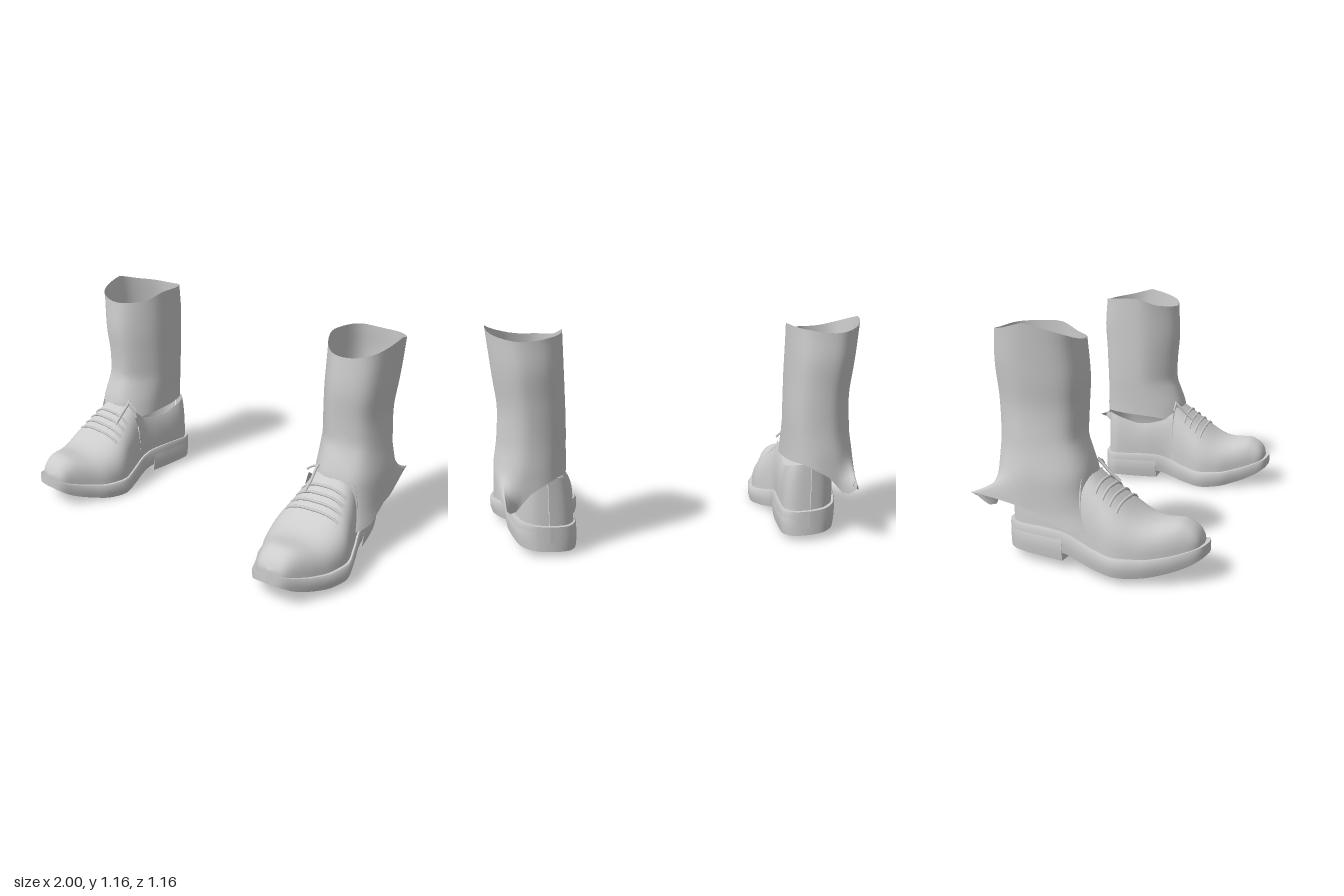
import * as THREE from 'three';
import { mergeVertices, toCreasedNormals } from 'three/addons/utils/BufferGeometryUtils.js';

// Monotone smooth interpolation through [key, value] pairs in rising key order
function at(table, k) {
  const n = table.length - 1;
  if (k <= table[0][0]) return table[0][1];
  if (k >= table[n][0]) return table[n][1];
  const slope = (i) => (table[i + 1][1] - table[i][1]) / (table[i + 1][0] - table[i][0]);
  const tangent = (i) => {
    if (i === 0) return slope(0);
    if (i === n) return slope(n - 1);
    const a = slope(i - 1), b = slope(i);
    return a * b <= 0 ? 0 : (2 * a * b) / (a + b);
  };
  let i = 0;
  while (k > table[i + 1][0]) i++;
  const d = table[i + 1][0] - table[i][0], t = (k - table[i][0]) / d;
  const t2 = t * t, t3 = t2 * t;
  return (2 * t3 - 3 * t2 + 1) * table[i][1] + (t3 - 2 * t2 + t) * d * tangent(i)
    + (3 * t2 - 2 * t3) * table[i + 1][1] + (t3 - t2) * d * tangent(i + 1);
}

// Skin a surface over rows of points; closed joins each row end to its start
function loft(rows, closed) {
  const m = rows[0].length, index = [];
  for (let r = 0; r < rows.length - 1; r++) {
    for (let c = 0; c < (closed ? m : m - 1); c++) {
      const a = r * m + c, b = r * m + ((c + 1) % m);
      index.push(a, b, a + m, b, b + m, a + m);
    }
  }
  const geo = new THREE.BufferGeometry();
  geo.setAttribute('position', new THREE.Float32BufferAttribute(rows.flat(2), 3));
  geo.setIndex(index);
  geo.computeVertexNormals();
  return geo;
}

// Outline and height curves along z for the left shoe
const INNER = [[-0.445, 0.68], [-0.437, 0.615], [-0.415, 0.57], [-0.36, 0.543], [-0.2, 0.555], [-0.04, 0.575],
  [0.08, 0.545], [0.2, 0.512], [0.3, 0.533], [0.4, 0.587], [0.5, 0.643], [0.545, 0.67], [0.567, 0.7], [0.577, 0.775]];
const OUTER = [[-0.445, 0.68], [-0.437, 0.74], [-0.415, 0.785], [-0.36, 0.835], [-0.2, 0.885], [-0.04, 0.92],
  [0.08, 0.965], [0.2, 1.0], [0.3, 0.984], [0.4, 0.946], [0.5, 0.895], [0.545, 0.866], [0.567, 0.837], [0.577, 0.775]];
const WELT = [[-0.44, 0.172], [-0.2, 0.18], [-0.1, 0.175], [0, 0.148], [0.1, 0.122], [0.2, 0.108],
  [0.3, 0.108], [0.4, 0.12], [0.5, 0.145], [0.575, 0.172]];
const TREAD = [[-0.44, 0.085], [-0.1, 0.072], [0, 0.046], [0.1, 0.026], [0.2, 0.017], [0.3, 0.023],
  [0.4, 0.042], [0.5, 0.075], [0.575, 0.12]];
const RIDGE = [[0, 0.475], [0.05, 0.435], [0.1, 0.395], [0.15, 0.355], [0.2, 0.317], [0.25, 0.285], [0.3, 0.265],
  [0.35, 0.259], [0.4, 0.264], [0.45, 0.268], [0.5, 0.25], [0.53, 0.225], [0.554, 0.18]];
const COLLAR = [[-0.43, 0.43], [-0.36, 0.41], [-0.2, 0.365], [-0.08, 0.385], [0, 0.44]];

// Slight sideways roll of the whole shoe
const roll = (x, y, z) => [x, y + 0.07 * (x - 0.755), z];
// Stations bunched towards both ends
const stations = (z0, z1, n) => Array.from({ length: n + 1 },
  (_, i) => (z0 + z1) / 2 - ((z1 - z0) / 2) * Math.cos((Math.PI * i) / n));

// Solid bar following the outline between two height functions
function slab(z0, z1, n, top, bottom) {
  const rows = stations(z0, z1, n).map((z) => {
    const c = (at(INNER, z) + at(OUTER, z)) / 2, w = (at(OUTER, z) - at(INNER, z)) / 2;
    const t = top(z), b = bottom(z), m = b + (t - b) * 0.35;
    return [[-0.96, t], [-1, t - 0.014], [-0.99, m], [-0.95, b], [0.95, b], [0.99, m], [1, t - 0.014], [0.96, t]]
      .map(([k, y]) => roll(c + k * w, y, z));
  });
  // Close both ends
  const shrink = (row) => {
    const mid = [0, 1, 2].map((j) => row.reduce((s, p) => s + p[j], 0) / row.length);
    return row.map(() => mid);
  };
  return toCreasedNormals(loft([shrink(rows[0]), ...rows, shrink(rows[n])], true), 0.85);
}

// Point on the leather upper; a runs from 0 at the welt to 1 at the ridge or collar
function upperPoint(z, side, a, lift = 0) {
  const zo = z / 0.96, open = z < 0;
  const c = (at(INNER, zo) + at(OUTER, zo)) / 2, w = ((at(OUTER, zo) - at(INNER, zo)) / 2) * 0.91;
  const angle = a * (open ? 0.72 : Math.PI / 2), y0 = at(WELT, z) - 0.005;
  const reach = open ? Math.pow(Math.sin(0.72), 0.75) : 1;
  const h = ((open ? at(COLLAR, z) : at(RIDGE, z)) - y0) / reach;
  const x = c + side * w * Math.pow(Math.max(0, Math.cos(angle)), 0.75);
  return roll(x, y0 + h * Math.pow(Math.sin(angle), 0.75) + lift, z);
}

function upperGeometry(side, z0, z1, n) {
  const rows = stations(z0, z1, n).map((z) =>
    Array.from({ length: 15 }, (_, i) => upperPoint(z, side, side > 0 ? i / 14 : 1 - i / 14)));
  return loft(rows, false);
}

// Trouser leg section curves by height, and hems by angle (0 outside, 90 front)
const LEG_OUT = [[0.2, 0.965], [0.3, 0.952], [0.42, 0.95], [0.6, 0.925], [0.75, 0.915], [0.9, 0.93], [1.16, 0.955]];
const LEG_IN = [[0.2, 0.58], [0.44, 0.58], [0.7, 0.575], [1.13, 0.578]];
const LEG_FRONT = [[0.2, 0.12], [0.3, 0.06], [0.38, 0.035], [0.46, 0.028], [0.55, 0], [0.63, -0.025], [0.75, -0.02],
  [0.9, -0.01], [1.08, -0.022]];
const LEG_BACK = [[0.2, -0.46], [0.45, -0.46], [0.6, -0.455], [0.8, -0.462], [0.97, -0.474], [1.1, -0.465]];
const HEM_LOW = [[0, 0.285], [15, 0.218], [40, 0.205], [65, 0.205], [90, 0.36], [135, 0.385], [180, 0.41],
  [225, 0.42], [265, 0.37], [288, 0.262], [315, 0.325], [335, 0.32], [360, 0.285]];
const HEM_TOP = [[0, 1.16], [45, 1.11], [90, 1.078], [135, 1.085], [180, 1.13], [225, 1.125], [270, 1.11], [315, 1.125], [360, 1.16]];

function legGeometry() {
  const rows = [], sides = 48, levels = 28;
  for (let r = levels; r >= 0; r--) {
    const row = [];
    for (let i = 0; i < sides; i++) {
      const deg = (i * 360) / sides, th = THREE.MathUtils.degToRad(deg);
      const y = THREE.MathUtils.lerp(at(HEM_LOW, deg), at(HEM_TOP, deg), Math.pow(r / levels, 1.2));
      const xo = at(LEG_OUT, y), xi = at(LEG_IN, y), zf = at(LEG_FRONT, y), zb = at(LEG_BACK, y);
      // Squarish at the ankle; above, fuller at the outer front and inner back
      const p = THREE.MathUtils.lerp(0.72, 0.93 - 0.2 * Math.sin(2 * th), THREE.MathUtils.smoothstep(y, 0.25, 0.6));
      const bend = (v) => Math.sign(v) * Math.pow(Math.abs(v), p);
      let x = (xo + xi) / 2 + ((xo - xi) / 2) * bend(Math.cos(th));
      let z = (zf + zb) / 2 + ((zf - zb) / 2) * bend(Math.sin(th));
      // Pointed flick of cloth at the outer back corner
      const pull = Math.max(0, 1 - Math.abs(deg - 315) / 32)
        * Math.pow(THREE.MathUtils.clamp((0.46 - y) / 0.135, 0, 1), 2);
      x += (0.88 - x) * pull;
      z += (-0.58 - z) * pull;
      row.push([x, y, z]);
    }
    rows.push(row);
  }
  return loft(rows, true);
}

export function createModel() {
  const grey = new THREE.MeshStandardMaterial({ color: 0xcccccc, side: THREE.DoubleSide });
  grey.name = 'plain grey';

  function buildShoe(name) {
    const shoe = new THREE.Group();
    shoe.name = name;
    const add = (part, geo) => {
      const mesh = new THREE.Mesh(geo, grey);
      mesh.name = part;
      shoe.add(mesh);
    };
    const tube = (points, radius) => new THREE.TubeGeometry(
      new THREE.CatmullRomCurve3(points.map((p) => new THREE.Vector3(...p))), 20, radius, 6);

    // Sole and heel block
    add('sole', slab(-0.445, 0.577, 56, (z) => at(WELT, z), (z) => at(TREAD, z)));
    add('heel', slab(-0.443, -0.1, 28, () => 0.15, (z) => 0.032 - 0.02 * (z + 0.1)));

    // Leather upper: closed vamp in front, open quarters behind
    for (const side of [1, -1]) {
      add('vamp', mergeVertices(upperGeometry(side, 0, 0.554, 36)));
      add('quarter', upperGeometry(side, -0.427, -0.0005, 30));
    }

    // Laces across the instep
    for (let i = 0; i < 4; i++) {
      const z = 0.065 + i * 0.036, points = [];
      for (let k = -4; k <= 4; k++) {
        points.push(upperPoint(z + 0.008 * (1 - Math.abs(k) / 4), k < 0 ? -1 : 1,
          1 - Math.abs(k) * 0.105, 0.008 - 0.002 * Math.abs(k)));
      }
      add('lace', tube(points, 0.007));
    }
    add('laceEnd', tube([[0.67, 0.383, 0.11], [0.672, 0.425, 0.062], [0.668, 0.465, 0.02], [0.67, 0.49, -0.005]], 0.008));
    add('laceLoop', tube([[0.67, 0.485, 0], [0.64, 0.472, 0.005], [0.61, 0.448, 0.005]], 0.006));

    // Trouser leg
    add('trouserLeg', legGeometry());
    return shoe;
  }

  const model = new THREE.Group();
  model.name = 'shoes';
  const left = buildShoe('leftShoe'), right = buildShoe('rightShoe');
  right.scale.x = -1;
  model.add(left, right);
  return model;
}
